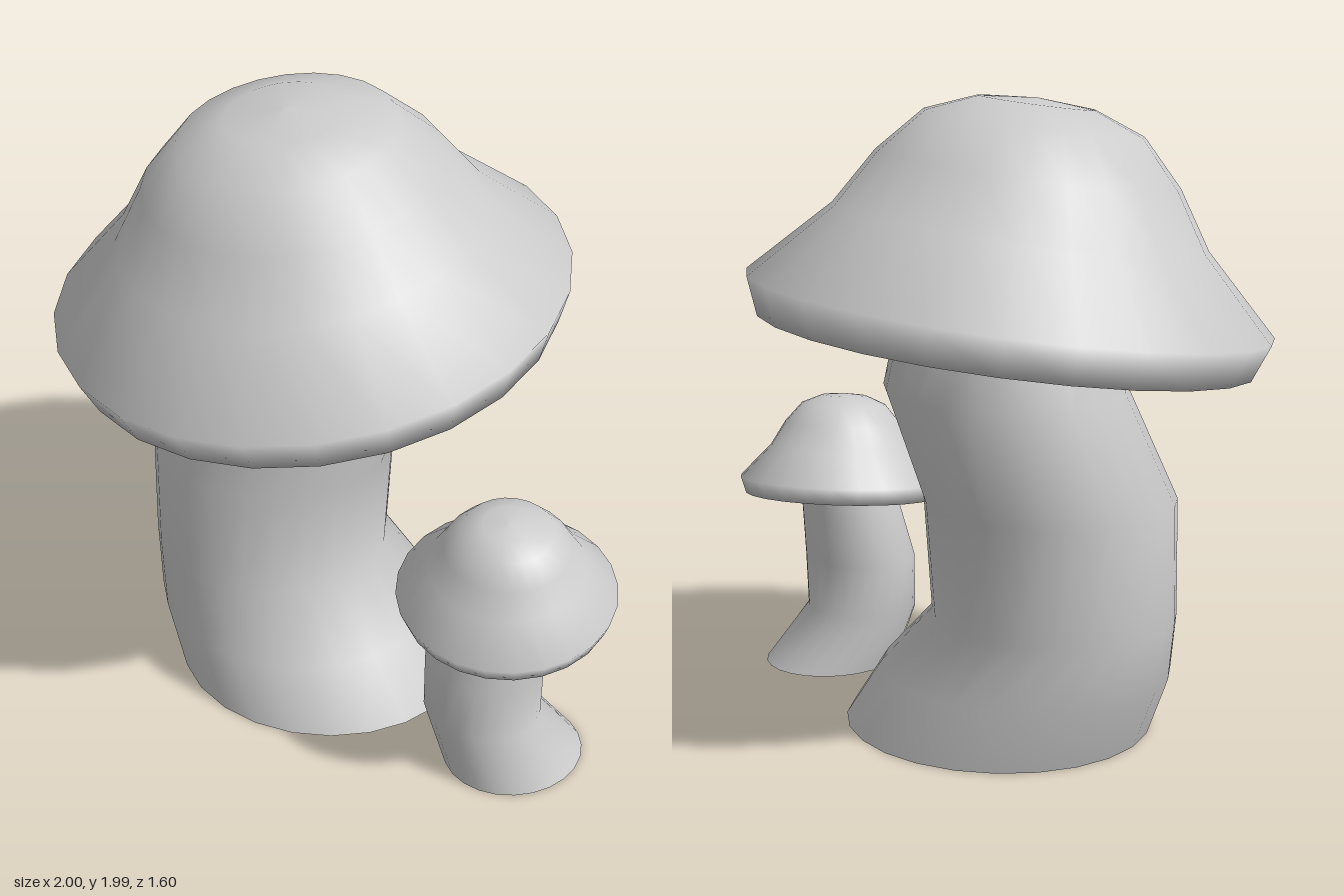
import * as THREE from 'three';

const SIDES = 24;
const material = new THREE.MeshStandardMaterial({ color: 0xcccccc });

// Bent stem: each ring is [y, centreX, centreZ, radiusX, radiusZ], bottom first
function makeStem(name, rings, topTilt) {
  const last = rings.length - 1;
  const geometry = new THREE.CylinderGeometry(1, 1, 1, SIDES, last);
  const pos = geometry.attributes.position;
  for (let i = 0; i < pos.count; i++) {
    const row = Math.round((pos.getY(i) + 0.5) * last);
    const [y, cx, cz, rx, rz] = rings[row];
    const x = pos.getX(i) * rx, z = pos.getZ(i) * rz;
    // The top ring leans with the cap
    const lift = row === last ? -(topTilt.x * x + topTilt.z * z) : 0;
    pos.setXYZ(i, cx + x, y + lift, cz + z);
  }
  geometry.computeVertexNormals();
  // Average the normals across the side seam
  const normal = geometry.attributes.normal;
  const sum = new THREE.Vector3();
  for (let row = 0; row <= last; row++) {
    const a = row * (SIDES + 1), b = a + SIDES;
    sum.set(normal.getX(a) + normal.getX(b), normal.getY(a) + normal.getY(b),
      normal.getZ(a) + normal.getZ(b)).normalize();
    normal.setXYZ(a, sum.x, sum.y, sum.z);
    normal.setXYZ(b, sum.x, sum.y, sum.z);
  }
  const mesh = new THREE.Mesh(geometry, material);
  mesh.name = name;
  return mesh;
}

// Bell-shaped cap, heights measured from the widest rim
const capProfile = [
  [0, -0.09], [0.35, -0.09], [0.765, -0.115], [0.81, 0], [0.575, 0.235],
  [0.465, 0.41], [0.335, 0.55], [0.18, 0.61], [0, 0.625],
].map(([r, y]) => new THREE.Vector2(r, y));

function makeCap(name, centre, up, width, height) {
  const geometry = new THREE.LatheGeometry(capProfile, SIDES);
  geometry.scale(width, height, width);
  const mesh = new THREE.Mesh(geometry, material);
  mesh.name = name;
  mesh.position.set(...centre);
  mesh.quaternion.setFromUnitVectors(new THREE.Vector3(0, 1, 0), up.clone().normalize());
  return mesh;
}

function makeMushroom(name, rings, centre, up, width, height) {
  const group = new THREE.Group();
  group.name = name;
  group.add(makeStem(name + 'Stem', rings, up), makeCap(name + 'Cap', centre, up, width, height));
  return group;
}

export function createModel() {
  const model = new THREE.Group();
  model.name = 'mushrooms';

  model.add(makeMushroom('large', [
    [0, -0.115, 0.025, 0.495, 0.475],
    [0.2, -0.22, 0.045, 0.47, 0.44],
    [0.4, -0.33, 0.06, 0.39, 0.37],
    [0.77, -0.325, 0.045, 0.395, 0.385],
    [1.12, -0.235, -0.06, 0.385, 0.36],
    [1.29, -0.21, -0.025, 0.36, 0.315],
  ], [-0.19, 1.36, 0], new THREE.Vector3(-0.037, 1, 0.142), 1, 1));

  model.add(makeMushroom('small', [
    [0, 0.692, 0.002, 0.213, 0.232],
    [0.19, 0.62, 0.075, 0.19, 0.176],
    [0.37, 0.62, 0.07, 0.19, 0.18],
    [0.55, 0.63, 0.04, 0.17, 0.16],
    [0.61, 0.64, 0.035, 0.16, 0.15],
  ], [0.66, 0.632, 0.025], new THREE.Vector3(0.09, 1, 0.13), 0.42, 0.46));

  return model;
}
